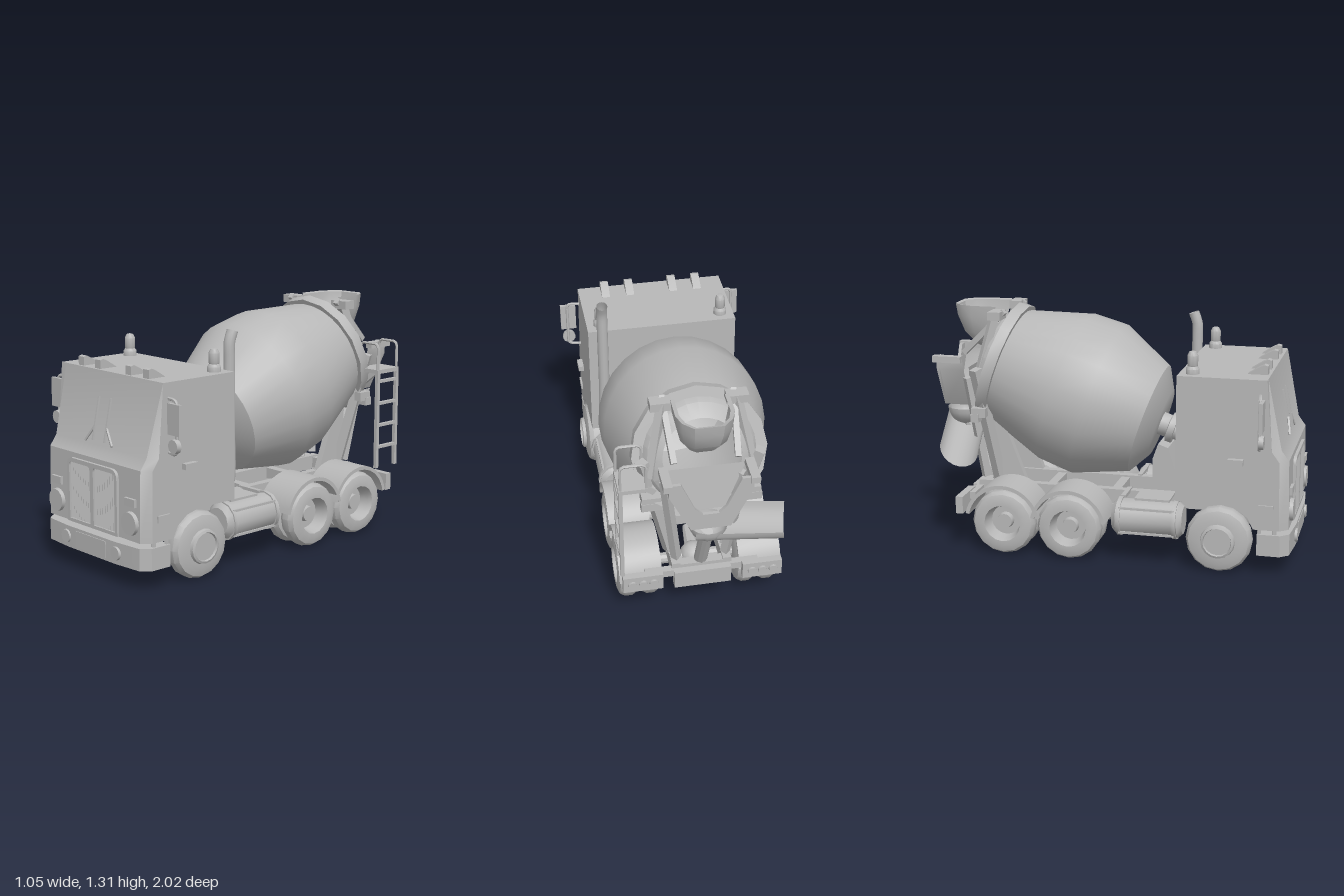
import * as THREE from 'three';
import { toCreasedNormals } from 'three/addons/utils/BufferGeometryUtils.js';

export function createModel() {
  const model = new THREE.Group();
  model.name = 'mixerTruck';
  const grey = new THREE.MeshStandardMaterial({ color: 0xb8b8b8, side: THREE.DoubleSide });
  grey.name = 'plainGrey';
  const V = (x, y, z) => new THREE.Vector3(x, y, z);
  const sides = [-1, 1];

  // --- helpers ---
  function add(name, geo, x = 0, y = 0, z = 0) {
    const m = new THREE.Mesh(toCreasedNormals(geo, 0.6), grey);
    m.name = name;
    m.position.set(x, y, z);
    model.add(m);
    return m;
  }
  const box = (name, w, h, d, x, y, z) => add(name, new THREE.BoxGeometry(w, h, d), x, y, z);
  const lathe = (pts, n) => new THREE.LatheGeometry(pts.map(p => new THREE.Vector2(...p)), n);
  const poly = pts => new THREE.Shape(pts.map(p => new THREE.Vector2(...p)));
  const extrude = (shape, depth, steps = 1) =>
    new THREE.ExtrudeGeometry(shape, { depth, steps, bevelEnabled: false, curveSegments: 10 });
  // side outline drawn in (z, y), extruded across x and centred
  const sideExtrude = (shape, w, steps) => extrude(shape, w, steps).translate(0, 0, -w / 2).rotateY(-Math.PI / 2);
  function beam(name, a, b, w, d = w) {
    const m = add(name, new THREE.BoxGeometry(w, d, a.distanceTo(b)));
    m.position.copy(a).lerp(b, 0.5);
    m.lookAt(b);
    return m;
  }
  function rod(name, a, b, r1, r2 = r1, n = 10) {
    const m = add(name, new THREE.CylinderGeometry(r2, r1, a.distanceTo(b), n));
    m.position.copy(a).lerp(b, 0.5);
    m.quaternion.setFromUnitVectors(V(0, 1, 0), b.clone().sub(a).normalize());
    return m;
  }
  function pipe(name, pts, r) {
    const path = new THREE.CurvePath();
    for (let i = 1; i < pts.length; i++) path.add(new THREE.LineCurve3(pts[i - 1], pts[i]));
    return add(name, new THREE.TubeGeometry(path, (pts.length - 1) * 5, r, 6));
  }
  const disc = (name, r, d, x, y, z, n = 16) =>
    add(name, new THREE.CylinderGeometry(r * 0.93, r, d, n).rotateX(Math.PI / 2), x, y, z);
  function loft(rings) {
    const pos = rings.flat().flatMap(p => [p.x, p.y, p.z]), idx = [], n = rings[0].length;
    for (let j = 0; j < rings.length - 1; j++)
      for (let i = 0; i < n - 1; i++) {
        const a = j * n + i;
        idx.push(a, a + 1, a + n, a + 1, a + n + 1, a + n);
      }
    const g = new THREE.BufferGeometry();
    g.setAttribute('position', new THREE.Float32BufferAttribute(pos, 3));
    g.setIndex(idx);
    return g;
  }

  // --- cab with wheel arch and chamfered front corners ---
  const arch = [[0.39, 1.04], [0.39, 0.375], [0.63, 0.375], [0.71, 0.355], [0.77, 0.31], [0.8, 0.25]];
  const cab = sideExtrude(poly([...arch, [0.98, 0.25], [0.972, 0.615], [0.932, 0.67], [0.855, 1.04]]), 0.83, 3);
  const p = cab.attributes.position;
  for (let i = 0; i < p.count; i++) {
    if (Math.abs(p.getX(i)) < 0.3) p.setX(i, Math.sign(p.getX(i)) * 0.375);
    else if (p.getZ(i) > 0.9) p.setZ(i, p.getZ(i) - 0.045);
  }
  add('cab', cab);

  // bumper
  const bumper = extrude(poly([[-0.415, 0.82], [0.415, 0.82], [0.415, 0.94], [0.375, 0.985], [0.2, 1], [-0.2, 1], [-0.375, 0.985], [-0.415, 0.94]]), 0.115);
  add('bumper', bumper.rotateX(Math.PI / 2), 0, 0.225, 0);
  box('plateHolder', 0.25, 0.085, 0.008, 0, 0.168, 1.0);

  // grille: arched frame with two slatted openings
  const panel = (x0, x1, y0, y1, r, path) => path.moveTo(x0, y0).lineTo(x1, y0).lineTo(x1, y1 - r)
    .quadraticCurveTo(x1, y1, x1 - r, y1).lineTo(x0 + r, y1).quadraticCurveTo(x0, y1, x0, y1 - r).lineTo(x0, y0);
  const frame = panel(-0.207, 0.207, 0.25, 0.59, 0.05, new THREE.Shape());
  frame.holes.push(panel(-0.187, -0.014, 0.268, 0.568, 0.02, new THREE.Path()));
  frame.holes.push(panel(0.014, 0.187, 0.268, 0.568, 0.02, new THREE.Path()));
  add('grilleFrame', extrude(frame, 0.016), 0, 0, 0.974);
  for (const s of sides)
    for (let i = 0; i < 8; i++) {
      const slat = box('grilleSlat', 0.012, 0.298, 0.012, s * (0.027 + i * 0.021), 0.418, 0.98);
      slat.rotation.y = Math.PI / 4;
    }

  for (const s of sides) {
    // lamps
    disc('headlight', 0.062, 0.03, s * 0.305, 0.34, 0.982, 20);
    disc('fogLight', 0.037, 0.02, s * 0.207, 0.168, 1.0);
    box('turnSignal', 0.08, 0.04, 0.02, s * 0.305, 0.447, 0.98);
    box('sideMarker', 0.03, 0.03, 0.08, s * 0.435, 0.61, 0.705);
    box('cornerMarker', 0.02, 0.035, 0.075, s * 0.415, 0.367, 0.865);

    // roof lamps and beacons
    for (const x of [0.125, 0.265])
      add('roofLamp', sideExtrude(poly([[0.735, 1.04], [0.84, 1.04], [0.84, 1.085], [0.82, 1.09], [0.79, 1.075]]), 0.045), s * x);
    add('beacon', lathe([[0, 0], [0.036, 0], [0.036, 0.025], [0.026, 0.04], [0.028, 0.045], [0.028, 0.095], [0.018, 0.115], [0, 0.12]], 14), s * 0.34, 1.04, 0.46);

    // wipers
    const screenZ = y => 0.866 + (1.04 - y) * 0.208;
    const w = (x, y) => V(s * x, y, screenZ(y));
    beam('wiperBlade', w(0.048, 0.695), w(0.048, 0.915), 0.01);
    beam('wiperArm', w(0.11, 0.685), w(0.05, 0.765), 0.01);

    // mirrors
    pipe('mirrorBracket', [V(s * 0.41, 0.96, 0.82), V(s * 0.47, 0.96, 0.83), V(s * 0.485, 0.945, 0.83), V(s * 0.485, 0.705, 0.83), V(s * 0.47, 0.69, 0.83), V(s * 0.41, 0.69, 0.82)], 0.009);
    box('mirror', 0.088, 0.155, 0.02, s * 0.48, 0.867, 0.84);
    disc('roundMirror', 0.037, 0.025, s * 0.48, 0.735, 0.842);

    // cab step
    pipe('cabStep', [V(s * 0.395, 0.26, 0.91), V(s * 0.395, 0.12, 0.91), V(s * 0.395, 0.12, 0.83), V(s * 0.395, 0.26, 0.83)], 0.011);
    box('stepTread', 0.05, 0.012, 0.08, s * 0.39, 0.17, 0.87);

    // fuel tank with straps
    const tank = add('fuelTank', lathe([[0, -0.19], [0.075, -0.19], [0.098, -0.165], [0.098, 0.165], [0.075, 0.19], [0, 0.19]], 12), s * 0.32, 0.24, 0.23);
    tank.rotation.x = Math.PI / 2;
    for (const z of [0.08, 0.38]) {
      const strap = add('tankStrap', new THREE.CylinderGeometry(0.106, 0.106, 0.022, 12), s * 0.32, 0.24, z);
      strap.rotation.x = Math.PI / 2;
      box('tankBracket', 0.16, 0.02, 0.025, s * 0.2, 0.33, z);
    }
    for (const y of [0.17, 0.305]) box('tankRail', 0.012, 0.012, 0.3, s * (y > 0.2 ? 0.395 : 0.393), y, 0.23);
    box('tankDeck', 0.14, 0.012, 0.19, s * 0.27, 0.342, 0.25);

    // chassis rail and tail lamps
    box('chassisRail', 0.045, 0.08, 1.65, s * 0.135, 0.29, 0.05);
    box('tailLampBar', 0.21, 0.095, 0.04, s * 0.315, 0.26, -0.8);
    for (const x of [0.26, 0.315, 0.372]) disc('tailLamp', 0.024, 0.014, s * x, 0.26, -0.824, 12).rotation.y = Math.PI;
    box('lampArm', 0.2, 0.04, 0.04, s * 0.2, 0.28, -0.77);
  }

  // --- wheels ---
  const tyre = [[0, -0.05], [0.13, -0.055], [0.16, -0.045], [0.175, -0.02], [0.175, 0.02], [0.16, 0.045], [0.13, 0.055]];
  const rearWheel = lathe([...tyre, [0.1, 0.055], [0.092, 0.03], [0.082, -0.02], [0.045, -0.02], [0.04, 0.01], [0, 0.01]], 16);
  const frontWheel = lathe([...tyre, [0.092, 0.058], [0.088, 0.075], [0.076, 0.08], [0.072, 0.068], [0, 0.068]], 16);
  function wheel(name, geo, s, x, z) {
    add(name, geo, s * x, 0.177, z).rotation.z = -s * Math.PI / 2;
  }
  for (const s of sides) {
    wheel('frontWheel', frontWheel, s, 0.378, 0.62);
    for (const z of [-0.19, -0.555]) {
      wheel('rearOuterWheel', rearWheel, s, 0.375, z);
      wheel('rearInnerWheel', rearWheel, s, 0.258, z);
      const fender = new THREE.Shape();
      fender.absarc(z, 0.18, 0.21, 0.2, Math.PI - 0.2, false);
      fender.absarc(z, 0.18, 0.19, Math.PI - 0.2, 0.2, true);
      add('rearFender', sideExtrude(fender, 0.225), s * 0.318);
    }
  }
  for (const z of [0.62, -0.19, -0.555]) {
    rod('axle', V(-0.35, 0.177, z), V(0.35, 0.177, z), 0.03);
    if (z < 0) {
      add('differential', new THREE.SphereGeometry(0.075, 12, 8), 0, 0.18, z);
      rod('driveShaft', V(0, 0.18, z), V(0, 0.2, z + 0.2), 0.045, 0.025);
    }
  }
  for (const z of [0.86, 0.42, 0, -0.37, -0.75]) box('crossMember', 0.27, 0.06, 0.05, 0, 0.29, z);
  box('rearBumper', 0.3, 0.1, 0.05, 0, 0.25, -0.79);

  // --- exhaust stack ---
  const stack = new THREE.CatmullRomCurve3([V(0.25, 0.39, 0.355), V(0.31, 0.4, 0.355), V(0.34, 0.46, 0.357), V(0.34, 0.75, 0.357), V(0.34, 1.08, 0.357), V(0.34, 1.18, 0.355), V(0.34, 1.235, 0.335)]);
  add('exhaustStack', new THREE.TubeGeometry(stack, 30, 0.03, 12));

  // --- drum, tilted along its axis ---
  const tilt = THREE.MathUtils.degToRad(-71.5);
  const drumPart = (name, pts, n) => { add(name, lathe(pts, n), 0, 0.815, -0.185).rotation.x = tilt; };
  drumPart('drum', [[0, -0.434], [0.19, -0.434], [0.31, -0.365], [0.435, -0.075], [0.427, 0.118], [0.32, 0.46], [0.27, 0.56], [0.2, 0.6]], 28);
  drumPart('drumRing', [[0.3, 0.465], [0.345, 0.465], [0.345, 0.525], [0.28, 0.525]], 16);
  drumPart('drumGearbox', [[0, -0.575], [0.06, -0.575], [0.06, -0.52], [0.085, -0.52], [0.085, -0.485], [0.065, -0.48], [0.065, -0.42]], 12);
  add('gearboxStand', sideExtrude(poly([[0.36, 0.33], [0.2, 0.33], [0.2, 0.5], [0.23, 0.585], [0.285, 0.565]]), 0.2));

  // --- rear support frame ---
  for (const s of sides) {
    add('sidePlate', sideExtrude(poly([[-0.49, 0.33], [-0.68, 0.33], [-0.69, 0.75], [-0.65, 0.75]]), 0.04), s * 0.15);
    beam('frameLeg', V(s * 0.15, 0.33, -0.65), V(s * 0.3, 0.99, -0.73), 0.05);
    beam('frameBrace', V(s * 0.13, 0.35, -0.74), V(s * 0.2, 0.92, -0.81), 0.04);
    beam('upperPost', V(s * 0.26, 0.9, -0.74), V(s * 0.185, 1.28, -0.65), 0.04);
    beam('hopperArm', V(s * 0.18, 1.29, -0.6), V(s * 0.16, 1.05, -0.84), 0.03);
    box('rollerBlock', 0.11, 0.045, 0.07, s * 0.19, 1.27, -0.64);
    box('frameFoot', 0.13, 0.05, 0.08, s * 0.24, 0.75, -0.72);
  }
  beam('frameCrossbar', V(-0.31, 0.72, -0.74), V(0.31, 0.72, -0.74), 0.045);

  // charging hopper: U-shaped scoop open toward the drum
  const scoopRing = (y, hw, z0, z1) => [[-1, 0], [-1, 0.55], [-0.85, 0.8], [-0.5, 1], [0.5, 1], [0.85, 0.8], [1, 0.55], [1, 0]]
    .map(([u, t]) => V(u * hw, y, z0 + t * (z1 - z0)));
  add('chargingHopper', loft([scoopRing(1.3, 0.125, -0.66, -0.9), scoopRing(1.305, 0.145, -0.66, -0.915), scoopRing(1.24, 0.14, -0.68, -0.905),
    scoopRing(1.15, 0.12, -0.7, -0.87), scoopRing(1.08, 0.08, -0.7, -0.81), scoopRing(1.05, 0.03, -0.68, -0.76)]));

  // discharge collector: tapered box with a U notch at the rear
  const back = poly([[-0.21, 1.03], [-0.21, 0.96], [-0.1, 0.74], [0.1, 0.74], [0.21, 0.96], [0.21, 1.03], [0.15, 1.03], [0.08, 0.87], [0.04, 0.83], [-0.04, 0.83], [-0.08, 0.87], [-0.15, 1.03]]);
  add('collectorBack', extrude(back, 0.018), 0, 0, -0.985);
  for (const s of sides) {
    add('collectorSide', loft([[V(s * 0.21, 1.03, -0.98), V(s * 0.21, 1.03, -0.84)], [V(s * 0.21, 0.96, -0.98), V(s * 0.21, 0.96, -0.83)], [V(s * 0.1, 0.74, -0.98), V(s * 0.1, 0.74, -0.83)]]));
    box('collectorFlange', 0.045, 0.035, 0.16, s * 0.215, 1.02, -0.92);
  }
  add('collectorFront', loft([[V(-0.21, 0.98, -0.8), V(0.21, 0.98, -0.8)], [V(-0.1, 0.74, -0.84), V(0.1, 0.74, -0.84)]]));

  // swivel bowl and half-pipe chute
  add('swivelBowl', new THREE.SphereGeometry(0.1, 14, 6, 0, Math.PI * 2, Math.PI / 2, Math.PI / 2), 0, 0.71, -0.9);
  rod('swivelPost', V(0, 0.32, -0.74), V(0, 0.62, -0.88), 0.035);
  const chuteRing = c => Array.from({ length: 11 }, (_, i) => {
    const a = Math.PI * (1 + i / 10);
    return V(c.x - Math.cos(a) * 0.03, c.y + Math.sin(a) * 0.1, c.z + Math.cos(a) * 0.12);
  });
  add('chute', loft([chuteRing(V(0.05, 0.73, -0.89)), chuteRing(V(-0.425, 0.58, -0.79))]));

  // --- ladder with platform and handrails ---
  for (const z of [-0.685, -0.84]) {
    box('ladderPost', 0.02, 0.56, 0.02, 0.425, 0.64, z);
    pipe('handrail', [V(0.425, 0.9, z), V(0.425, 1.05, z), V(0.41, 1.065, z), V(0.31, 1.065, z), V(0.295, 1.05, z), V(0.295, 0.9, z)], 0.008);
  }
  for (let i = 0; i < 4; i++) box('ladderRung', 0.02, 0.016, 0.16, 0.425, 0.48 + i * 0.125, -0.763);
  box('ladderPlatform', 0.145, 0.022, 0.175, 0.362, 0.91, -0.763);
  beam('platformBrace', V(0.24, 0.8, -0.73), V(0.36, 0.9, -0.75), 0.03);

  return model;
}
